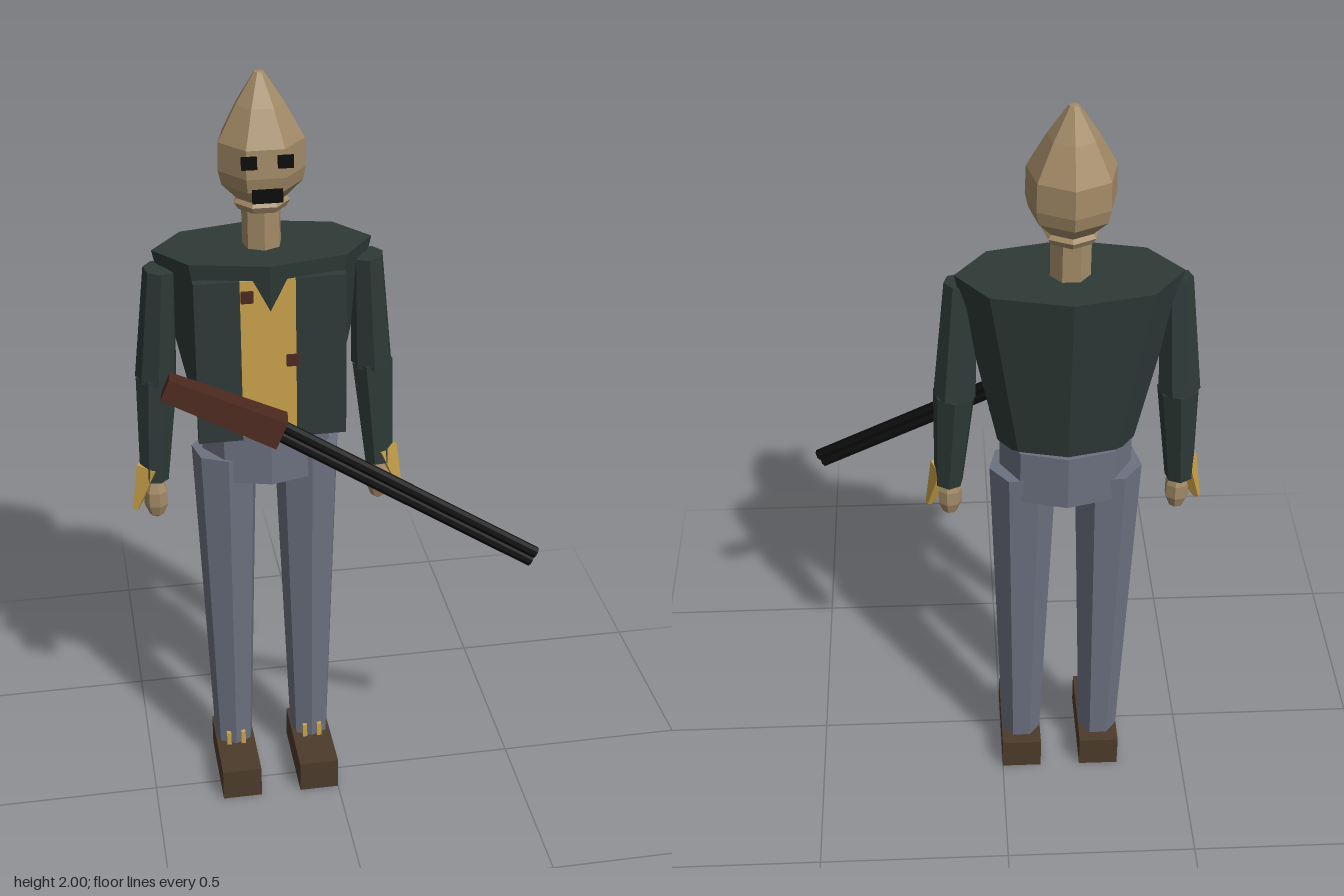
import * as THREE from 'three';

const mat = (name, color) => {
  const m = new THREE.MeshStandardMaterial({ color, flatShading: true });
  m.name = name;
  return m;
};

export function createModel() {
  const skin = mat('skin', 0xa38b67);
  const jacket = mat('jacket green', 0x2e3a37);
  const gold = mat('gold cloth', 0xc9a24a);
  const trousers = mat('trouser grey', 0x6c7180);
  const leather = mat('shoe leather', 0x4c3b2b);
  const wood = mat('stock wood', 0x4c2920);
  const black = mat('black', 0x0b0b0b);

  const model = new THREE.Group();
  model.name = 'figure';
  const body = new THREE.Group();
  body.name = 'body';
  body.position.set(-0.16, 0, -0.1);
  model.add(body);

  const add = (parent, name, geometry, material, x = 0, y = 0, z = 0) => {
    const mesh = new THREE.Mesh(geometry, material);
    mesh.name = name;
    mesh.position.set(x, y, z);
    parent.add(mesh);
    return mesh;
  };
  const box = (parent, name, material, w, h, d, x, y, z) =>
    add(parent, name, new THREE.BoxGeometry(w, h, d), material, x, y, z);
  // Tapered prism running from point a to point b
  const limb = (parent, name, material, a, b, ra, rb, sides = 7, roll = 0) => {
    const from = new THREE.Vector3(...a), to = new THREE.Vector3(...b);
    const dir = to.clone().sub(from);
    const geometry = new THREE.CylinderGeometry(rb, ra, dir.length(), sides).rotateY(roll);
    const mesh = add(parent, name, geometry, material);
    mesh.position.copy(from).add(to).multiplyScalar(0.5);
    mesh.quaternion.setFromUnitVectors(new THREE.Vector3(0, 1, 0), dir.normalize());
    return mesh;
  };

  // Head with pointed crown, and neck
  const headProfile = [[0, 1.668], [0.06, 1.668], [0.07, 1.685], [0.062, 1.695], [0.1, 1.735],
    [0.108, 1.77], [0.106, 1.84], [0.06, 1.925], [0.012, 1.998], [0, 2]]
    .map(([x, y]) => new THREE.Vector2(x, y));
  add(body, 'head', new THREE.LatheGeometry(headProfile, 7, Math.PI), skin);
  limb(body, 'neck', skin, [0, 1.55, 0], [0, 1.69, 0], 0.049, 0.049);

  // Face plates
  for (const s of [-1, 1]) box(body, 'eye', black, 0.037, 0.03, 0.009, s * 0.043, 1.82, 0.122);
  box(body, 'mouth', black, 0.072, 0.032, 0.009, 0, 1.735, 0.116);

  // Torso and pelvis are flattened octagons
  add(body, 'torso', new THREE.CylinderGeometry(0.27, 0.17, 0.48, 8).scale(1, 1, 0.544), jacket, 0, 1.33, 0);
  add(body, 'pelvis', new THREE.CylinderGeometry(0.165, 0.165, 0.15, 8).scale(1, 1, 0.64), trousers, 0, 1.025, 0);

  // Open jacket front over the shirt
  box(body, 'jacketPanel', jacket, 0.111, 0.43, 0.025, -0.129, 1.315, 0.119);
  box(body, 'jacketPanel', jacket, 0.126, 0.43, 0.025, 0.123, 1.315, 0.119);
  box(body, 'shirt', gold, 0.135, 0.42, 0.03, -0.006, 1.32, 0.118);
  box(body, 'button', wood, 0.03, 0.03, 0.014, -0.057, 1.49, 0.133);
  box(body, 'button', wood, 0.03, 0.03, 0.014, 0.052, 1.315, 0.133);

  // Arms, hands, legs and shoes
  for (const s of [-1, 1]) {
    limb(body, 'upperArm', jacket, [s * 0.255, 1.535, 0.028], [s * 0.274, 1.23, 0.005], 0.04, 0.053);
    limb(body, 'forearm', jacket, [s * 0.274, 1.235, 0.005], [s * 0.293, 0.95, 0.02], 0.053, 0.037);
    add(body, 'hand', new THREE.SphereGeometry(1, 7, 5).scale(0.033, 0.062, 0.03), skin, s * 0.291, 0.9, 0.028);
    limb(body, 'cuff', gold, [s * 0.305, 0.99, 0.025], [s * 0.345, 0.87, 0.032], 0.036, 0.009, 4);

    limb(body, 'leg', trousers, [s * 0.107, 0.085, 0.002], [s * 0.107, 1.015, 0], 0.053, 0.086);
    box(body, 'shoe', leather, 0.106, 0.09, 0.255, s * 0.107, 0.045, 0.05);
    for (const t of [-1, 1]) box(body, 'lace', gold, 0.012, 0.042, 0.012, s * 0.107 + t * 0.02, 0.108, 0.052);
  }

  // Long gun held across the body
  const gun = new THREE.Group();
  gun.name = 'longGun';
  model.add(gun);
  limb(gun, 'stock', wood, [-0.425, 1.29, 0.075], [-0.15, 1.17, 0.125], 0.04, 0.052, 4, 0.5);
  for (const s of [-1, 1]) {
    const dx = s * 0.006, dy = s * 0.011;
    limb(gun, 'barrel', black, [-0.17 + dx, 1.18 + dy, 0.12], [0.475 + dx, 0.8 + dy, 0.223], 0.015, 0.015, 8);
  }
  return model;
}
